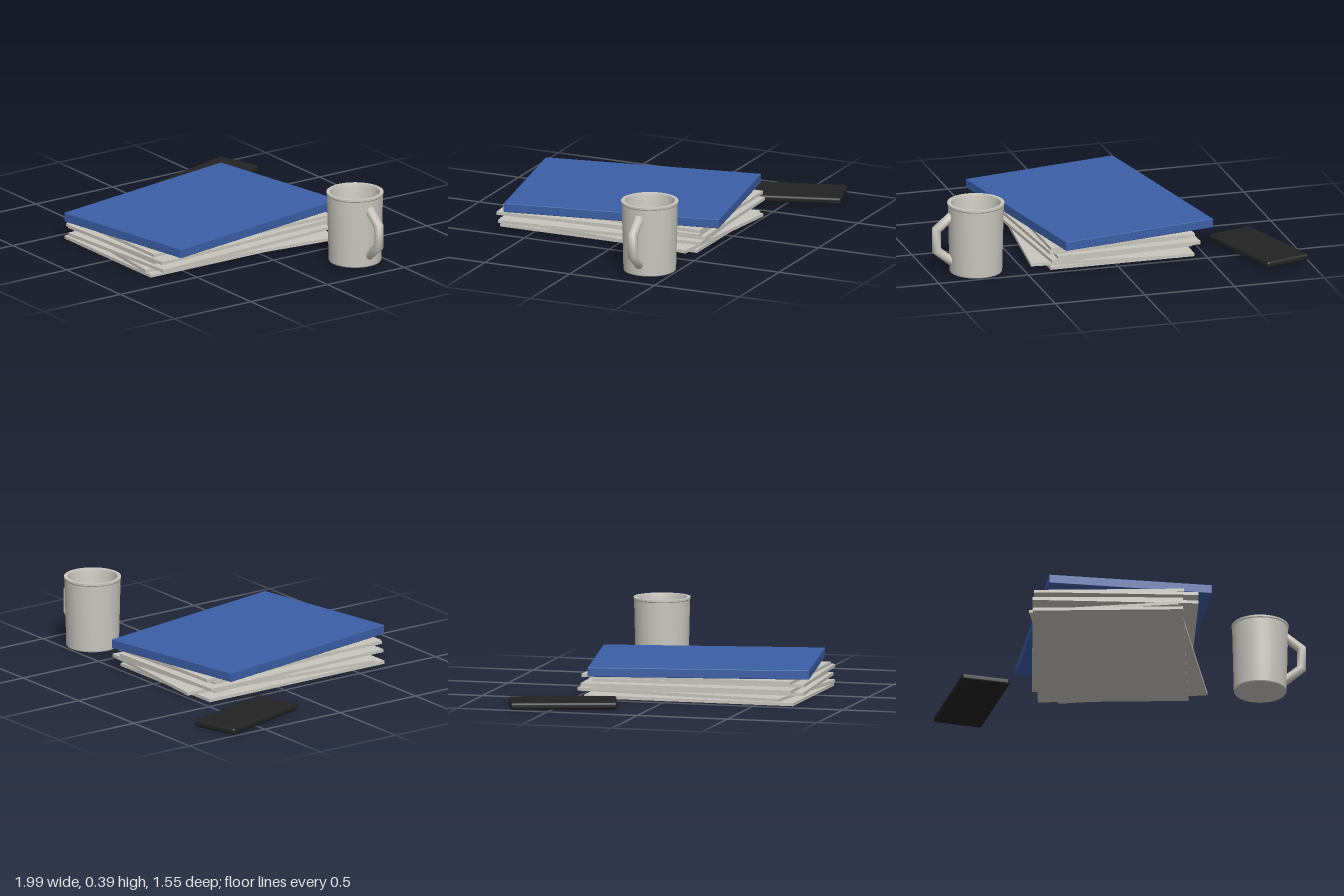
import * as THREE from 'three';
import { toCreasedNormals } from 'three/addons/utils/BufferGeometryUtils.js';
import { RoundedBoxGeometry } from 'three/addons/geometries/RoundedBoxGeometry.js';

const material = (name, color) => {
  const m = new THREE.MeshStandardMaterial({ color });
  m.name = name;
  return m;
};

export function createModel() {
  const paper = material('paper', 0xc8c6be);
  const ceramic = material('ceramic', 0xc8c6be);
  const blue = material('blue cover', 0x3b5fa6);
  const black = material('black plastic', 0x222222);
  const model = new THREE.Group();
  model.name = 'deskItems';

  const add = (parent, name, geometry, mat, x, y, z, turn = 0) => {
    const mesh = new THREE.Mesh(geometry, mat);
    mesh.name = name;
    mesh.position.set(x, y, z);
    mesh.rotation.y = THREE.MathUtils.degToRad(turn);
    parent.add(mesh);
    return mesh;
  };

  // Loose stack of paper bundles: x, z, turn in degrees
  const stack = new THREE.Group();
  stack.name = 'paperStack';
  model.add(stack);
  const sheet = new THREE.BoxGeometry(0.803, 0.017, 1.16);
  [
    [-0.038, 0.127, 0],
    [0.003, 0.1, -6.4],
    [0.003, 0.132, 4.2],
    [-0.055, 0.106, 1.5],
    [0.007, 0.138, 3.8],
    [-0.035, 0.11, 0.2],
  ].forEach(([x, z, turn], i) => {
    add(stack, `paper${i + 1}`, sheet, paper, x, 0.0105 + i * 0.0225, z, turn);
  });

  // Folder lying on top of the stack
  add(model, 'folder', new RoundedBoxGeometry(0.88, 0.05, 1.19, 2, 0.004),
    blue, -0.022, 0.16, 0.108, 10.15);

  // Phone
  add(model, 'phone', new RoundedBoxGeometry(0.265, 0.038, 0.575, 3, 0.014),
    black, -0.793, 0.024, -0.469, 17);

  // Mug: outer wall, lip, inner wall and floor in one profile
  const mug = new THREE.Group();
  mug.name = 'mug';
  mug.position.set(0.75, 0, -0.355);
  model.add(mug);
  const profile = [
    [0, 0.005], [0.138, 0.005], [0.141, 0.01], [0.15, 0.375], [0.153, 0.38],
    [0.153, 0.39], [0.134, 0.39], [0.13, 0.375], [0.122, 0.025], [0, 0.025],
  ].map(([r, y]) => new THREE.Vector2(r, y));
  add(mug, 'mugBody', toCreasedNormals(new THREE.LatheGeometry(profile, 40), 0.5),
    ceramic, 0, 0, 0);

  // Angular handle made of three straight runs
  const arc = THREE.MathUtils.degToRad(152);
  const ring = new THREE.TorusGeometry(0.135, 0.027, 12, 3, arc).rotateZ(-arc / 2);
  add(mug, 'mugHandle', ring, ceramic, 0.098, 0.197, 0);

  return model;
}
